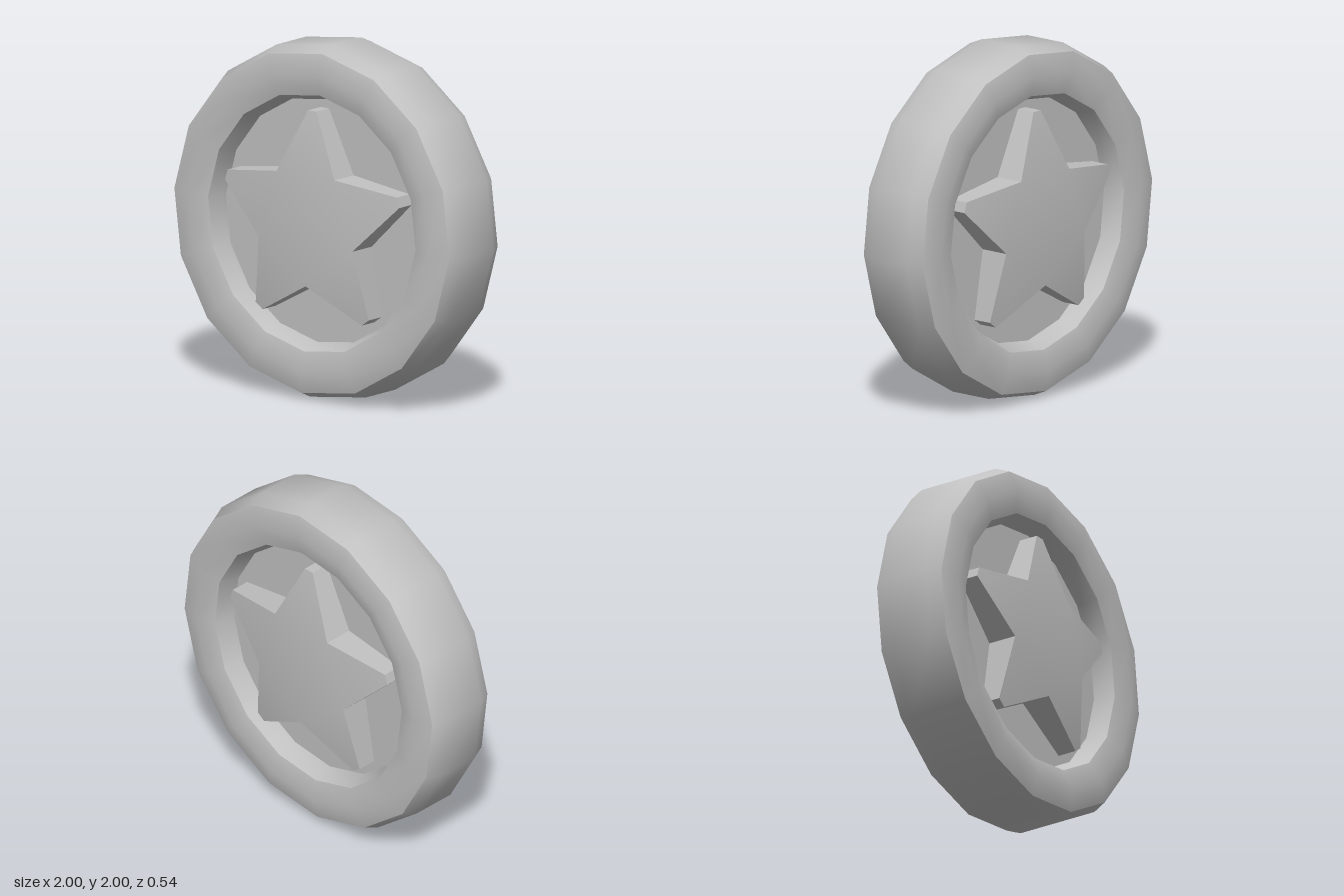
import * as THREE from 'three';
import { toCreasedNormals } from 'three/addons/utils/BufferGeometryUtils.js';

const SIDES = 16;
const CREASE = 0.62;
const TWIST = -0.075; // slight roll of the sixteen-sided outline

// Star with a flat middle and points that slope down to blunt tips
function starGeometry() {
  const base = 0.09, top = 0.272, tipTop = 0.212;
  const innerR = 0.345, tipR = 0.633, tipHalf = 0.03;
  const pos = [];
  const tri = (...pts) => pts.forEach((p) => pos.push(p.x, p.y, p.z));
  const floor = (p) => new THREE.Vector3(p.x, p.y, base);
  const centre = new THREE.Vector3(0, 0, top);
  for (let k = 0; k < 5; k++) {
    const a = Math.PI / 2 + (k * Math.PI * 2) / 5;
    const inner = (s) => new THREE.Vector3(
      innerR * Math.cos(a + s * Math.PI / 5), innerR * Math.sin(a + s * Math.PI / 5), top);
    const tip = (s) => new THREE.Vector3(
      tipR * Math.cos(a) - s * tipHalf * Math.sin(a),
      tipR * Math.sin(a) + s * tipHalf * Math.cos(a), tipTop);
    const edge = [inner(-1), tip(-1), tip(1), inner(1)];
    // Top faces
    tri(centre, edge[0], edge[3]);
    tri(edge[0], edge[1], edge[2]);
    tri(edge[0], edge[2], edge[3]);
    // Side walls
    for (let i = 0; i < 3; i++) {
      const p = edge[i], q = edge[i + 1];
      tri(floor(p), floor(q), q);
      tri(floor(p), q, p);
    }
  }
  const geo = new THREE.BufferGeometry();
  geo.setAttribute('position', new THREE.Float32BufferAttribute(pos, 3));
  return toCreasedNormals(geo, CREASE);
}

export function createModel() {
  const model = new THREE.Group();
  model.name = 'starCoin';
  const metal = new THREE.MeshStandardMaterial({ color: 0xc0c0c0 });
  metal.name = 'grey metal';

  const add = (name, geometry) => {
    const mesh = new THREE.Mesh(geometry, metal);
    mesh.name = name;
    mesh.position.y = 1;
    model.add(mesh);
    return mesh;
  };

  // Rounded rim: a closed cross-section turned about the coin's axis
  const half = [[0.695, 0.13], [0.73, 0.215], [0.847, 0.246], [0.967, 0.215], [1.003, 0.13]];
  const section = [
    ...half.map(([r, z]) => new THREE.Vector2(r, -z)),
    ...half.slice().reverse().map(([r, z]) => new THREE.Vector2(r, z)),
    new THREE.Vector2(half[0][0], -half[0][1]),
  ];
  const rim = new THREE.LatheGeometry(section, SIDES).rotateX(Math.PI / 2).rotateZ(TWIST);
  add('rim', toCreasedNormals(rim, CREASE));

  // Recessed disc inside the rim
  const disc = new THREE.CylinderGeometry(0.7, 0.7, 0.2, SIDES);
  add('disc', disc.rotateX(Math.PI / 2).rotateZ(TWIST));

  // Raised star on both faces
  const star = starGeometry();
  add('frontStar', star);
  add('backStar', star).rotation.y = Math.PI;

  return model;
}
